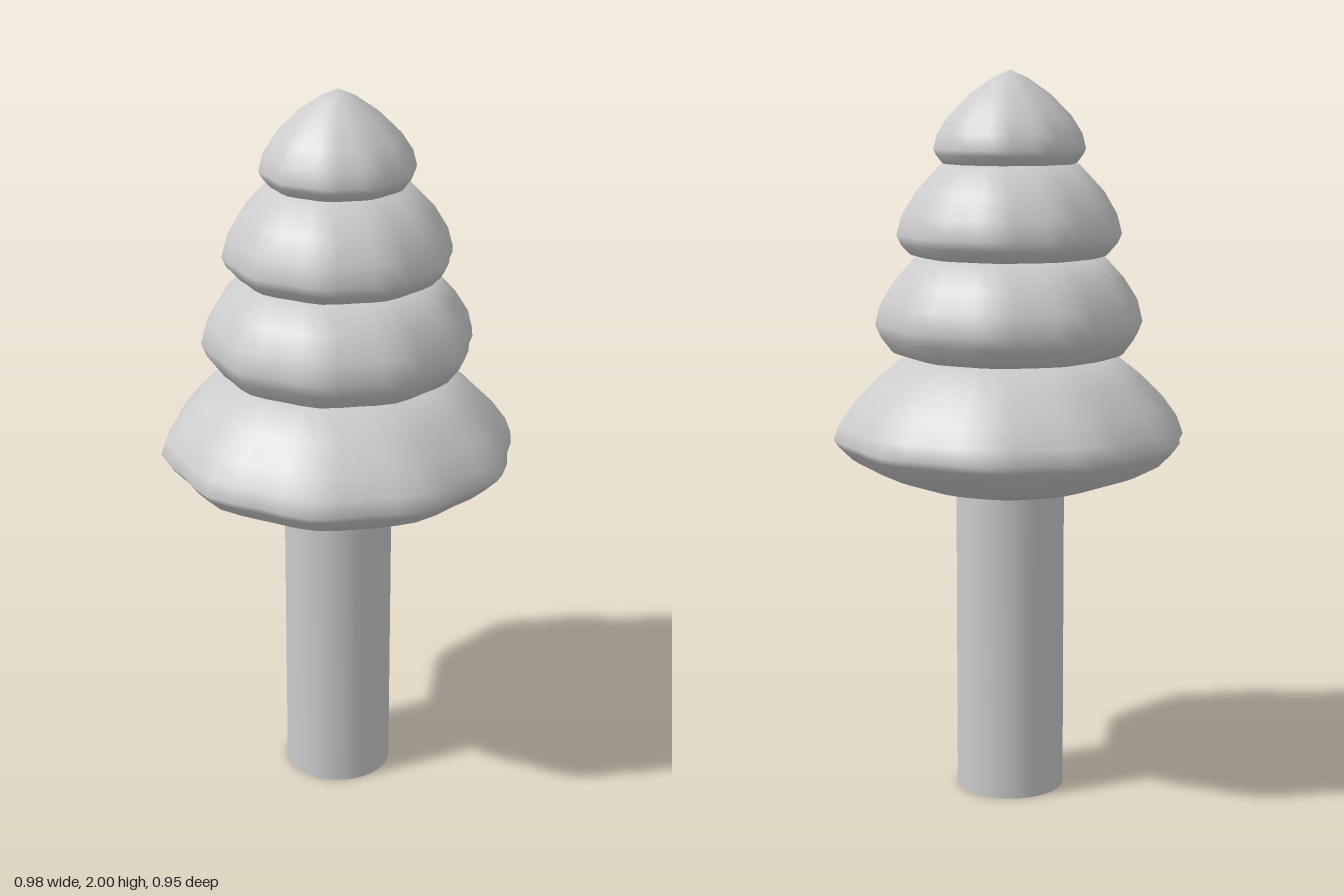
import * as THREE from 'three';
import { mergeVertices } from 'three/addons/utils/BufferGeometryUtils.js';

const LOBES = 10;
const material = new THREE.MeshStandardMaterial({ color: 0xcccccc });

// Smooth lathe whose rim swells gently into lobes; the lobes fade toward the axis
function foliageTier(name, profile) {
  const points = profile.map(([r, y]) => new THREE.Vector2(r, y));
  const rim = Math.max(...profile.map(([r]) => r));
  let geometry = new THREE.LatheGeometry(points, LOBES * 4);
  const p = geometry.attributes.position;
  for (let i = 0; i < p.count; i++) {
    const x = p.getX(i), z = p.getZ(i);
    const t = Math.hypot(x, z) / rim;
    const wave = Math.cos(LOBES * Math.atan2(z, x)) - 1;
    const scale = 1 + 0.022 * t * t * wave;
    p.setX(i, x * scale);
    p.setZ(i, z * scale);
  }
  geometry.deleteAttribute('uv');
  geometry.deleteAttribute('normal');
  geometry = mergeVertices(geometry, 1e-5);
  geometry.computeVertexNormals();
  const mesh = new THREE.Mesh(geometry, material);
  mesh.name = name;
  return mesh;
}

export function createModel() {
  const tree = new THREE.Group();
  tree.name = 'tree';

  // Trunk
  const trunk = new THREE.Mesh(new THREE.CylinderGeometry(0.15, 0.15, 0.87, 32), material);
  trunk.position.y = 0.435;
  trunk.name = 'trunk';
  tree.add(trunk);

  // Four stacked tiers, each profile running from underside to top as [radius, height]
  const tiers = {
    bottomTier: [[0, 0.847], [0.15, 0.85], [0.25, 0.872], [0.37, 0.913], [0.44, 0.95],
      [0.475, 0.985], [0.49, 1.005], [0.475, 1.045], [0.435, 1.1], [0.37, 1.165], [0.29, 1.228], [0, 1.26]],
    lowerMiddleTier: [[0, 1.222], [0.27, 1.225], [0.325, 1.243], [0.357, 1.285],
      [0.372, 1.32], [0.358, 1.375], [0.32, 1.435], [0.26, 1.5], [0, 1.53]],
    upperMiddleTier: [[0, 1.494], [0.23, 1.495], [0.275, 1.508], [0.3, 1.535],
      [0.312, 1.56], [0.298, 1.612], [0.26, 1.675], [0.19, 1.748], [0, 1.78]],
    topTier: [[0, 1.742], [0.15, 1.742], [0.185, 1.752], [0.203, 1.775],
      [0.21, 1.79], [0.2, 1.83], [0.168, 1.878], [0.11, 1.935], [0.05, 1.977], [0, 2]],
  };
  for (const [name, profile] of Object.entries(tiers)) tree.add(foliageTier(name, profile));

  return tree;
}
